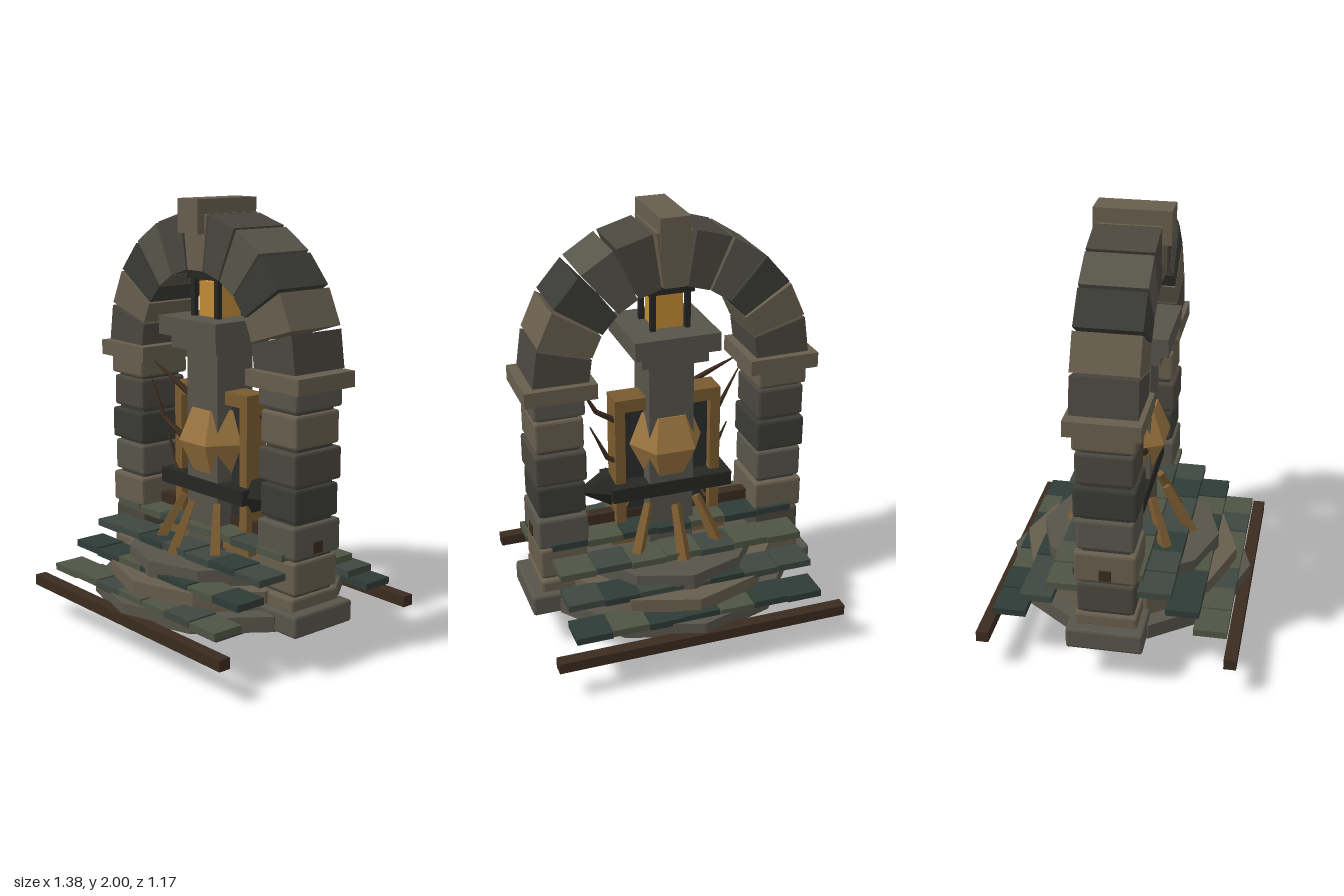
import * as THREE from 'three';
import { RoundedBoxGeometry } from 'three/addons/geometries/RoundedBoxGeometry.js';

const mat = (color) => new THREE.MeshStandardMaterial({ color, flatShading: true });
const STONE = [0x665d4c, 0x4a463e, 0x3a3a35, 0x57544a].map(mat);
const SLATE = [0x2f3b37, 0x4e5443, 0x3d4741].map(mat);
const WOOD = mat(0x3a2b1f), GOLD = mat(0x9a7440), AMBER = mat(0xc08a35);
const IRON = mat(0x262723), OAK = mat(0x7a5a30), PANEL = mat(0x2a2d2b);

export function createModel() {
  const root = new THREE.Group();
  const v = (x, y, z) => new THREE.Vector3(x, y, z);

  function add(name, geo, material, x = 0, y = 0, z = 0) {
    const m = new THREE.Mesh(geo, material);
    m.name = name;
    m.position.set(x, y, z);
    root.add(m);
    return m;
  }
  // Box given by its min/max extents; a bevel makes it a worn block
  function box(name, material, x0, x1, y0, y1, z0, z1, bevel = 0) {
    const w = x1 - x0, h = y1 - y0, d = z1 - z0;
    const geo = bevel ? new RoundedBoxGeometry(w, h, d, 1, bevel) : new THREE.BoxGeometry(w, h, d);
    return add(name, geo, material, (x0 + x1) / 2, (y0 + y1) / 2, (z0 + z1) / 2);
  }
  // Tapered stick from a to b
  function stick(name, material, a, b, ra, rb, sides = 4) {
    const dir = b.clone().sub(a);
    const m = add(name, new THREE.CylinderGeometry(rb, ra, dir.length(), sides), material);
    m.position.copy(a).add(b).multiplyScalar(0.5);
    m.quaternion.setFromUnitVectors(v(0, 1, 0), dir.normalize());
    return m;
  }

  // Foundation and stepped mound
  box('foundation', STONE[1], -0.17, 0.17, 0.0, 0.2, -0.17, 0.17, 0.01);
  [[0.575, 0.18, 0.25, 1.03], [0.507, 0.25, 0.335, 1], [0.42, 0.335, 0.41, 1]].forEach(([r, y0, y1, sx], i) => {
    const m = add('moundStep', new THREE.CylinderGeometry(r, r, y1 - y0, 10), STONE[i % 2 ? 0 : 3], 0, (y0 + y1) / 2, 0);
    m.scale.x = sx;
  });

  // Rows of slates climbing from both eaves to the ridge
  [[0.455, 0.255], [0.33, 0.34], [0.205, 0.425], [0.08, 0.505]].forEach(([z, y], row) => {
    for (const s of [-1, 1]) {
      for (let c = -3; c <= 3; c++) {
        const pick = (c * c * 2 + c + row * 5 + (s > 0 ? 1 : 0) + 9) % 3;
        const dy = ((c + 3 + row) % 2) * 0.006;
        add('slate', new THREE.BoxGeometry(0.165, 0.032, 0.15), SLATE[pick], c * 0.167, y + dy, s * z);
      }
    }
  });
  // Ridge and eave beams
  for (const z of [-0.557, 0.557]) box('eaveBeam', WOOD, -0.68, 0.68, 0.15, 0.2, z - 0.028, z + 0.028);
  box('ridgeBeam', WOOD, -0.648, 0.648, 0.52, 0.572, -0.027, 0.027);

  // Pillars
  for (const s of [-1, 1]) {
    const px = s * 0.525;
    const slab = (name, m, cx, w, y0, y1, d) =>
      box(name, m, cx - w / 2, cx + w / 2, y0, y1, -d, d, 0.012);
    slab('pillarBase', STONE[3], s * 0.54, 0.3, 0.18, 0.28, 0.172);
    slab('pillarBlock', STONE[0], px, 0.225, 0.27, 0.335, 0.14);
    for (let i = 0; i < 6; i++) {
      const y = 0.345 + i * 0.16;
      const w = i % 2 ? 0.235 : 0.222;
      slab('pillarBlock', STONE[(i * 3 + (s > 0 ? 0 : 1)) % 4], px, w, y, y + 0.147, i % 2 ? 0.138 : 0.128);
    }
    slab('pillarCore', STONE[2], px, 0.19, 0.25, 1.24, 0.11);
    box('pillarCap', STONE[0], s * 0.52 - 0.163, s * 0.52 + 0.163, 1.23, 1.3, -0.165, 0.165);
  }

  // Arch of eleven wedge stones
  const N = 11, step = Math.PI / N, gap = 0.012;
  for (let i = 0; i < N; i++) {
    const a = i * step + gap, b = (i + 1) * step - gap, ri = 0.39, ro = 0.64;
    const pts = [[ri, a], [ro, a], [ro, b], [ri, b]].map(([r, t]) =>
      new THREE.Vector2(r * Math.cos(t), r * Math.sin(t)));
    const geo = new THREE.ExtrudeGeometry(new THREE.Shape(pts), { depth: 0.29, bevelEnabled: false });
    add('archStone', geo, STONE[[0, 1, 3, 2][Math.abs(i - 5) % 4]], 0, 1.3, -0.145);
  }
  box('keystone', STONE[0], -0.068, 0.068, 1.85, 2.0, -0.155, 0.185);

  // Central column with its capital
  box('column', STONE[3], -0.105, 0.105, 0.38, 1.34, -0.105, 0.105);
  box('capitalLower', STONE[3], -0.155, 0.155, 1.33, 1.395, -0.155, 0.155);
  box('capitalUpper', STONE[3], -0.197, 0.197, 1.39, 1.475, -0.195, 0.195);

  // Lantern
  box('lanternGlow', AMBER, -0.065, 0.065, 1.475, 1.63, -0.065, 0.065);
  for (const x of [-0.08, 0.08]) for (const z of [-0.08, 0.08]) {
    box('lanternPost', IRON, x - 0.012, x + 0.012, 1.475, 1.65, z - 0.012, z + 0.012);
  }
  box('lanternRoof', IRON, -0.105, 0.105, 1.645, 1.68, -0.105, 0.105);

  // Faceted bulge around the column
  const profile = [[0, 0.71], [0.09, 0.71], [0.185, 0.91], [0.125, 1.06], [0, 1.06]]
    .map(([r, y]) => new THREE.Vector2(r, y));
  const bulge = add('bulge', new THREE.LatheGeometry(profile, 6, Math.PI / 6), GOLD);
  bulge.scale.z = 1.04;

  // Splayed struts at the column foot
  for (let i = 0; i < 8; i++) {
    const t = i * Math.PI / 4, c = Math.cos(t), s = Math.sin(t);
    stick('strut', OAK, v(c * 0.285, 0.41, s * 0.285), v(c * 0.165, 0.64, s * 0.165), 0.033, 0.022);
  }

  // Pointer bar with its head
  box('pointerBar', IRON, -0.295, 0.28, 0.663, 0.732, -0.11, 0.11);
  const head = add('pointerHead', new THREE.ConeGeometry(0.088, 0.16, 6), IRON, 0.35, 0.697, 0);
  head.rotation.z = -Math.PI / 2;

  // Framed panel crossing the column
  for (const s of [-1, 1]) box('framePost', OAK, s * 0.228 - 0.024, s * 0.228 + 0.024, 0.42, 1.15, -0.06, 0.06);
  box('frameLintel', OAK, -0.25, 0.25, 1.09, 1.15, -0.06, 0.06);
  box('frameSill', OAK, -0.28, 0.28, 0.42, 0.475, -0.07, 0.07);
  box('framePanel', PANEL, -0.21, 0.21, 0.46, 1.1, -0.02, 0.02);

  // Bare branches reaching between column and pillars
  const branches = [
    [0.08, [-0.1, 1.1], [-0.24, 1.165], [-0.39, 1.23]],
    [0.09, [-0.15, 0.9], [-0.3, 0.97], [-0.4, 1.16]],
    [0.05, [-0.23, 0.72], [-0.27, 0.78], [-0.33, 0.91]],
    [-0.03, [0.22, 1.03], [0.33, 1.1], [0.4, 1.23]],
    [-0.03, [0.22, 0.83], [0.28, 0.86], [0.36, 1.03]],
  ];
  for (const [z, a, b, c] of branches) {
    stick('branch', WOOD, v(...a, z), v(...b, z), 0.017, 0.012, 5);
    stick('branchTip', WOOD, v(...b, z), v(...c, z), 0.012, 0.003, 5);
  }
  return root;
}
